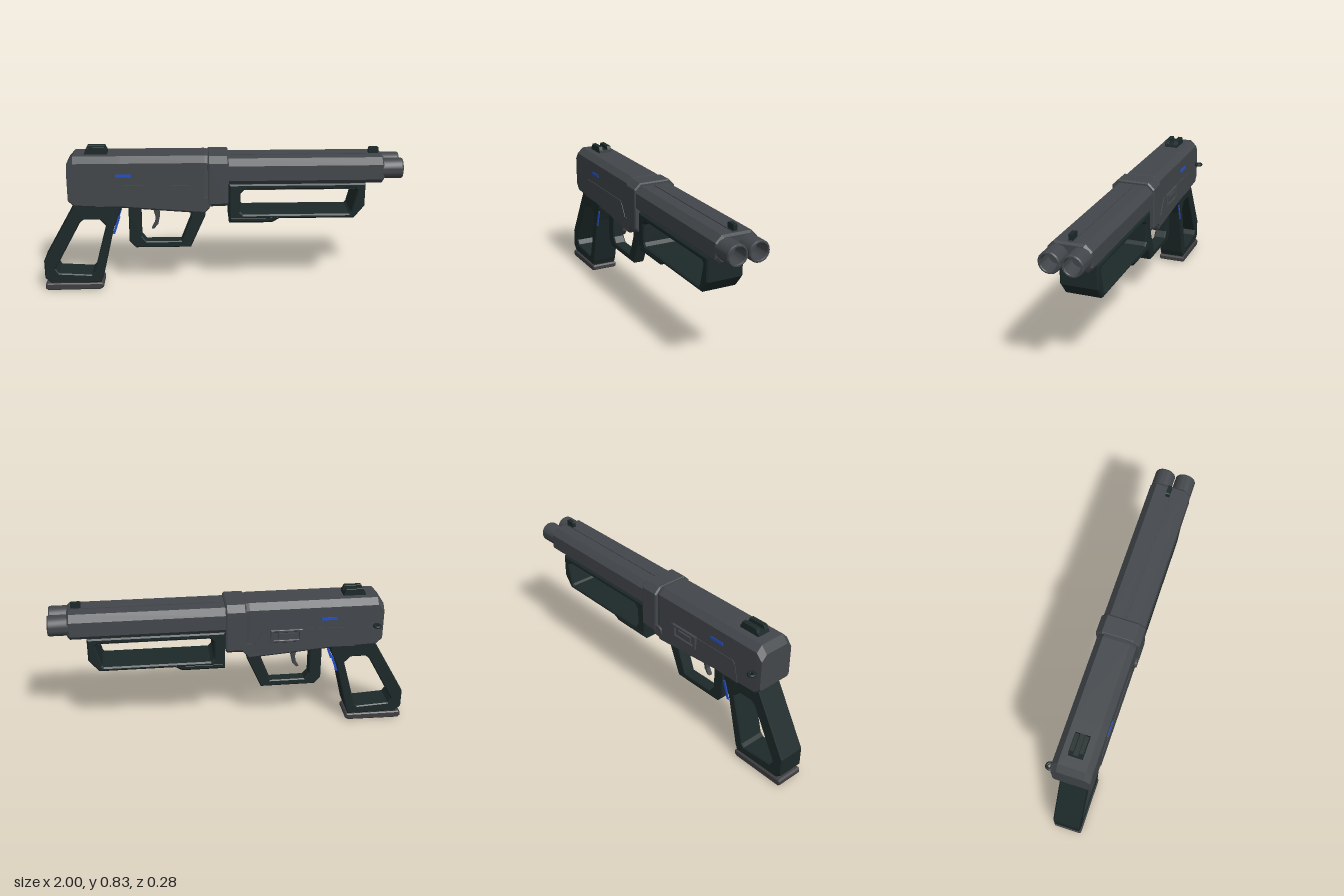
import * as THREE from 'three';
import { toCreasedNormals } from 'three/addons/utils/BufferGeometryUtils.js';

const mat = (name, color) => {
  const m = new THREE.MeshStandardMaterial({ color });
  m.name = name;
  return m;
};

export function createModel() {
  const metal = mat('gunmetal grey', 0x43474b);
  const dark = mat('dark green grip', 0x1d2929);
  const base = mat('base plate grey', 0x3f3f41);
  const blue = mat('accent blue', 0x2450c8);

  const model = new THREE.Group();
  const body = new THREE.Group();
  body.name = 'body';
  body.position.z = 0.0155;
  model.add(body);

  function add(name, geometry, material, x = 0, y = 0, z = 0) {
    const mesh = new THREE.Mesh(geometry, material);
    mesh.name = name;
    mesh.position.set(x, y, z);
    body.add(mesh);
    return mesh;
  }
  const box = (name, material, x0, x1, y0, y1, z0, z1) =>
    add(name, new THREE.BoxGeometry(x1 - x0, y1 - y0, z1 - z0), material,
      (x0 + x1) / 2, (y0 + y1) / 2, (z0 + z1) / 2);

  // side profile extruded across z, with chamfered edges; holes are listed counter-clockwise
  const points = (list) => list.map(([x, y]) => new THREE.Vector2(x, y));
  function profile(name, material, outline, half, bevel = 0, hole = null, z = 0) {
    const shape = new THREE.Shape(points(outline));
    if (hole) shape.holes.push(new THREE.Path(points(hole)));
    const depth = 2 * (half - bevel);
    const g = new THREE.ExtrudeGeometry(shape, {
      depth, bevelEnabled: bevel > 0, bevelThickness: bevel, bevelSize: bevel,
      bevelOffset: -bevel, bevelSegments: 1,
    });
    g.translate(0, 0, -depth / 2);
    return add(name, g, material, 0, 0, z);
  }

  // eight-sided sections joined along x: [x, bottom, top, half width, top chamfer, bottom chamfer]
  function loft(name, material, sections) {
    const pos = [], index = [];
    for (const [x, y0, y1, h, ct, cb] of sections) {
      const ring = [[-h + cb, y0], [h - cb, y0], [h, y0 + cb], [h, y1 - ct],
        [h - ct, y1], [-h + ct, y1], [-h, y1 - ct], [-h, y0 + cb]];
      for (const [u, y] of ring) pos.push(x, y, -u);
    }
    const last = (sections.length - 1) * 8;
    for (let s = 0; s < last; s += 8) {
      for (let j = 0; j < 8; j++) {
        const k = (j + 1) % 8;
        index.push(s + j, s + k, s + 8 + k, s + j, s + 8 + k, s + 8 + j);
      }
    }
    for (let j = 1; j < 7; j++) {
      index.push(0, j + 1, j, last, last + j, last + j + 1);
    }
    let g = new THREE.BufferGeometry();
    g.setAttribute('position', new THREE.Float32BufferAttribute(pos, 3));
    g.setIndex(index);
    g = g.toNonIndexed();
    g.computeVertexNormals();
    return add(name, g, material);
  }

  // receiver, collar and barrel block
  loft('receiver', metal, [
    [-0.84, 0.545, 0.755, 0.106, 0.033, 0.012],
    [-0.805, 0.513, 0.795, 0.108, 0.033, 0.012],
    [-0.55, 0.505, 0.795, 0.108, 0.033, 0.012],
    [-0.09, 0.467, 0.795, 0.108, 0.033, 0.012],
    [-0.06, 0.5, 0.79, 0.104, 0.033, 0.012],
  ]);
  loft('collar', metal, [
    [-0.072, 0.52, 0.788, 0.118, 0.033, 0.02],
    [-0.064, 0.51, 0.795, 0.123, 0.034, 0.02],
    [0.034, 0.513, 0.795, 0.123, 0.034, 0.02],
    [0.042, 0.52, 0.788, 0.118, 0.033, 0.02],
  ]);
  loft('barrelBlock', metal, [
    [0.03, 0.634, 0.778, 0.116, 0.035, 0.026],
    [0.885, 0.634, 0.778, 0.116, 0.035, 0.026],
    [0.898, 0.646, 0.768, 0.106, 0.033, 0.024],
  ]);
  box('topRib', metal, 0.06, 0.88, 0.77, 0.782, -0.014, 0.014);
  const pivot = add('hingePin', toCreasedNormals(new THREE.CylinderGeometry(0.031, 0.031, 0.24, 24), 0.6),
    metal, -0.083, 0.535, 0);
  pivot.rotation.x = Math.PI / 2;

  // hollow muzzles
  const tube = toCreasedNormals(new THREE.LatheGeometry(points([
    [0.057, 0], [0.057, 0.108], [0.053, 0.115], [0.046, 0.115], [0.043, 0.11], [0.043, 0.02], [0, 0.02],
  ]), 36), 0.5);
  tube.rotateZ(-Math.PI / 2);
  for (const s of [-1, 1]) add(s > 0 ? 'leftMuzzle' : 'rightMuzzle', tube, metal, 0.885, 0.709, s * 0.0595);

  // sights
  profile('frontSight', dark, [[0.82, 0.775], [0.875, 0.775], [0.875, 0.812], [0.87, 0.814], [0.826, 0.814], [0.82, 0.81]], 0.011);
  const sightBase = [[-0.75, 0.79], [-0.62, 0.79], [-0.625, 0.812], [-0.742, 0.812]];
  profile('rearSightBase', dark, sightBase, 0.039);
  for (const s of [-1, 1]) {
    profile('rearSightPost', dark, [[-0.742, 0.81], [-0.625, 0.81], [-0.635, 0.833], [-0.73, 0.833]],
      0.0125, 0.002, null, s * 0.0265);
  }

  // raised side plates and blue accents on both sides
  for (const s of [-1, 1]) {
    profile('sidePlate', metal, [[-0.69, 0.517], [-0.665, 0.625], [-0.65, 0.637], [-0.18, 0.637],
      [-0.16, 0.625], [-0.1, 0.53], [-0.1, 0.5], [-0.55, 0.519]], 0.003, 0, null, s * 0.1085);
    box('sideAccent', blue, -0.575, -0.488, 0.685, 0.702, s * 0.1085 - 0.003, s * 0.1085 + 0.003);
    profile('gripAccent', blue, [[-0.572, 0.445], [-0.558, 0.445], [-0.592, 0.342], [-0.606, 0.342]],
      0.003, 0, null, s * 0.0755);
  }

  // release catch on the right side
  profile('catchFrame', metal, [[-0.385, 0.565], [-0.205, 0.565], [-0.205, 0.642], [-0.385, 0.642]], 0.01, 0.003,
    [[-0.365, 0.58], [-0.225, 0.58], [-0.225, 0.627], [-0.365, 0.627]], -0.111);
  box('catchButton', metal, -0.345, -0.25, 0.588, 0.62, -0.121, -0.1);

  // sling ring
  box('slingStem', dark, -0.812, -0.788, 0.635, 0.651, -0.125, -0.09);
  const ring = add('slingRing', new THREE.TorusGeometry(0.0165, 0.008, 10, 24), dark, -0.8, 0.643, -0.129);
  ring.rotation.x = Math.PI / 2;

  // open frame fore grip with a grey lining under the barrels
  profile('foreGrip', dark, [[0.045, 0.634], [0.798, 0.634], [0.798, 0.503], [0.742, 0.433], [0.045, 0.433]], 0.104, 0.008,
    [[0.107, 0.475], [0.125, 0.457], [0.715, 0.457], [0.725, 0.468], [0.755, 0.59], [0.74, 0.603], [0.13, 0.603], [0.107, 0.58]]);
  box('foreGripLining', metal, 0.13, 0.74, 0.6, 0.606, -0.094, 0.094);
  profile('foreGripLip', dark, [[0.045, 0.45], [0.33, 0.45], [0.33, 0.433], [0.285, 0.407], [0.045, 0.407]], 0.103, 0.014);

  // trigger guard and trigger
  profile('triggerGuard', dark, [[-0.516, 0.5], [-0.516, 0.28], [-0.48, 0.24], [-0.168, 0.24], [-0.085, 0.43], [-0.085, 0.475],
    [-0.168, 0.485], [-0.168, 0.415], [-0.222, 0.277], [-0.42, 0.277], [-0.446, 0.31], [-0.446, 0.497]], 0.035, 0.006);
  profile('trigger', metal, [[-0.385, 0.49], [-0.345, 0.49], [-0.342, 0.42], [-0.352, 0.375], [-0.375, 0.347],
    [-0.39, 0.347], [-0.37, 0.385], [-0.367, 0.42]], 0.013, 0.003);

  // open frame rear grip with base plate
  profile('rearGrip', dark, [[-0.8, 0.54], [-0.555, 0.54], [-0.56, 0.465], [-0.598, 0.375], [-0.668, 0.08], [-0.683, 0.044],
    [-0.965, 0.044], [-1, 0.075], [-1, 0.18], [-0.81, 0.515]], 0.076, 0.006,
  [[-0.938, 0.13], [-0.92, 0.103], [-0.735, 0.092], [-0.718, 0.11], [-0.642, 0.39], [-0.675, 0.427], [-0.765, 0.427], [-0.785, 0.41]]);
  profile('gripBasePlate', base, [[-1, 0.012], [-0.988, 0], [-0.69, 0.004], [-0.67, 0.016], [-0.67, 0.034], [-0.678, 0.042],
    [-0.99, 0.042], [-1, 0.034]], 0.08, 0.006);

  return model;
}
